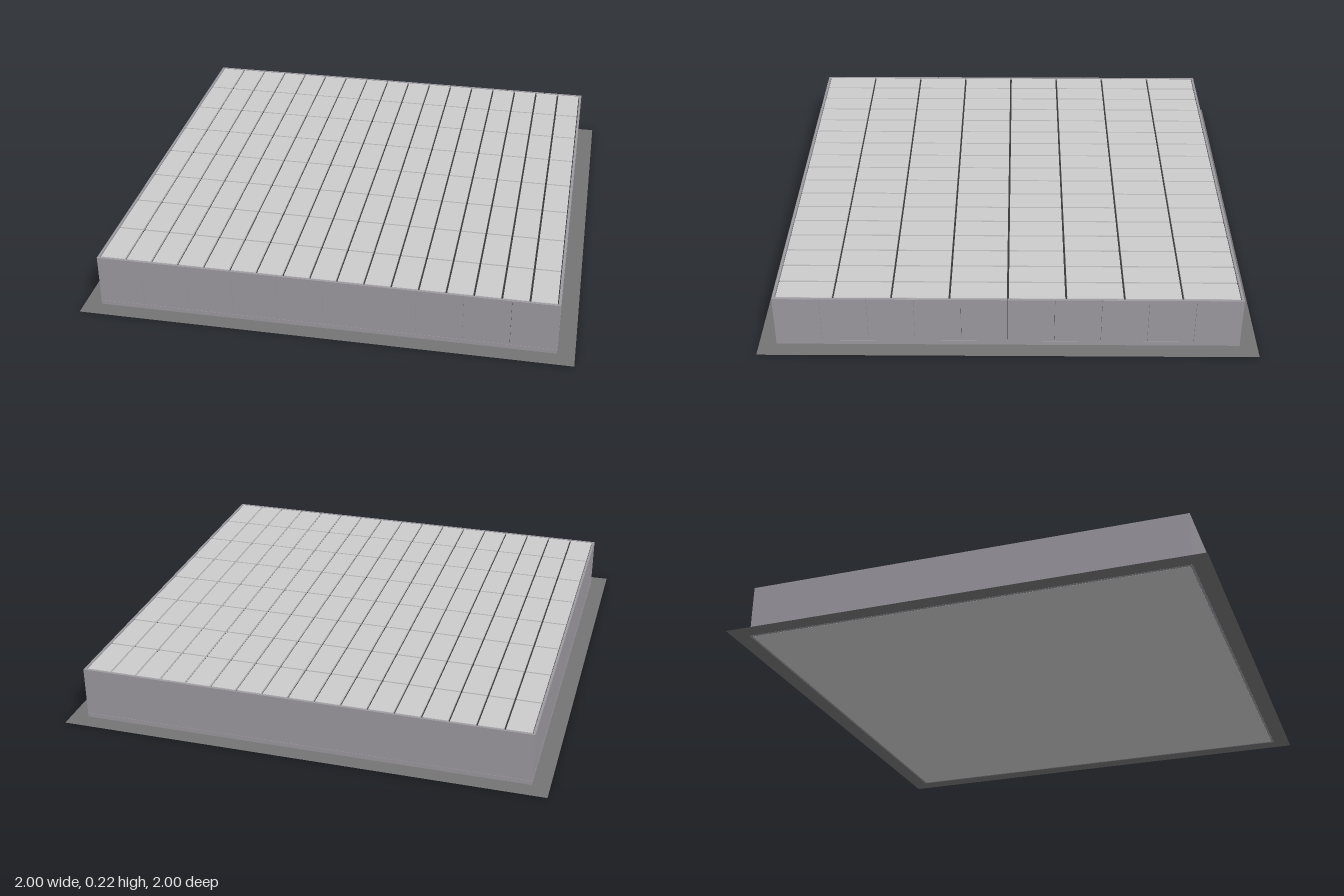
import * as THREE from 'three';

const HALF = 0.93;    // outer wall half width
const TOP = 0.225;    // height of the tiled deck
const SKIRT = 0.02;   // height of the bottom strip
const INNER = 0.92;   // half width of the tiled field
const GAP = 0.008;    // groove between tiles

const mat = (color) => new THREE.MeshStandardMaterial({ color });

function addBox(parent, name, size, pos, material) {
  const mesh = new THREE.Mesh(new THREE.BoxGeometry(...size), material);
  mesh.name = name;
  mesh.position.set(...pos);
  parent.add(mesh);
  return mesh;
}

export function createModel() {
  const model = new THREE.Group();
  model.name = 'tiledPlatform';
  const light = mat(0xcccccc);
  const wall = mat(0x9c99a0);
  const dark = mat(0x38383c);

  // Flat border lying on the ground around the block
  const outline = new THREE.Shape([[-1, -1], [1, -1], [1, 1], [-1, 1]].map((p) => new THREE.Vector2(...p)));
  const h = HALF - 0.003;
  outline.holes.push(new THREE.Path([[-h, -h], [-h, h], [h, h], [h, -h]].map((p) => new THREE.Vector2(...p))));
  const border = new THREE.Mesh(new THREE.ShapeGeometry(outline).rotateX(-Math.PI / 2), mat(0x747474));
  border.material.side = THREE.DoubleSide;
  border.name = 'groundBorder';
  border.position.y = 0.001;
  model.add(border);

  // Underside slab and dark core seen in the grooves
  addBox(model, 'baseSlab', [2 * INNER, 0.01, 2 * INNER], [0, 0.005, 0], light);
  addBox(model, 'core', [2 * INNER, TOP - 0.02, 2 * INNER], [0, 0.01 + (TOP - 0.02) / 2, 0], dark);

  // Four sides: a skirting strip and ten wall panels each
  const panels = 10;
  const pitch = (2 * HALF) / panels;
  const thick = HALF - INNER;
  for (let s = 0; s < 4; s++) {
    const side = new THREE.Group();
    side.name = 'side' + (s + 1);
    side.rotation.y = (s * Math.PI) / 2;
    addBox(side, 'skirting', [2 * HALF - thick, SKIRT - 0.001, thick], [thick / 2, SKIRT / 2, HALF - thick / 2], wall);
    for (let i = 0; i < panels; i++) {
      addBox(side, 'wallPanel', [pitch - 0.001, TOP - SKIRT, thick],
        [-HALF + (i + 0.5) * pitch, (TOP + SKIRT) / 2, HALF - thick / 2 - 0.0005], wall);
    }
    model.add(side);
  }

  // Deck of long tiles, 17 across and 8 deep
  const deck = new THREE.Group();
  deck.name = 'deckTiles';
  const cols = 17, rows = 8;
  const dx = (2 * INNER) / cols, dz = (2 * INNER) / rows;
  const tile = new THREE.BoxGeometry(dx - GAP, 0.012, dz - GAP);
  for (let c = 0; c < cols; c++) {
    for (let r = 0; r < rows; r++) {
      const mesh = new THREE.Mesh(tile, light);
      mesh.name = 'deckTile';
      mesh.position.set(-INNER + (c + 0.5) * dx, TOP - 0.006, -INNER + (r + 0.5) * dz);
      deck.add(mesh);
    }
  }
  model.add(deck);
  return model;
}
